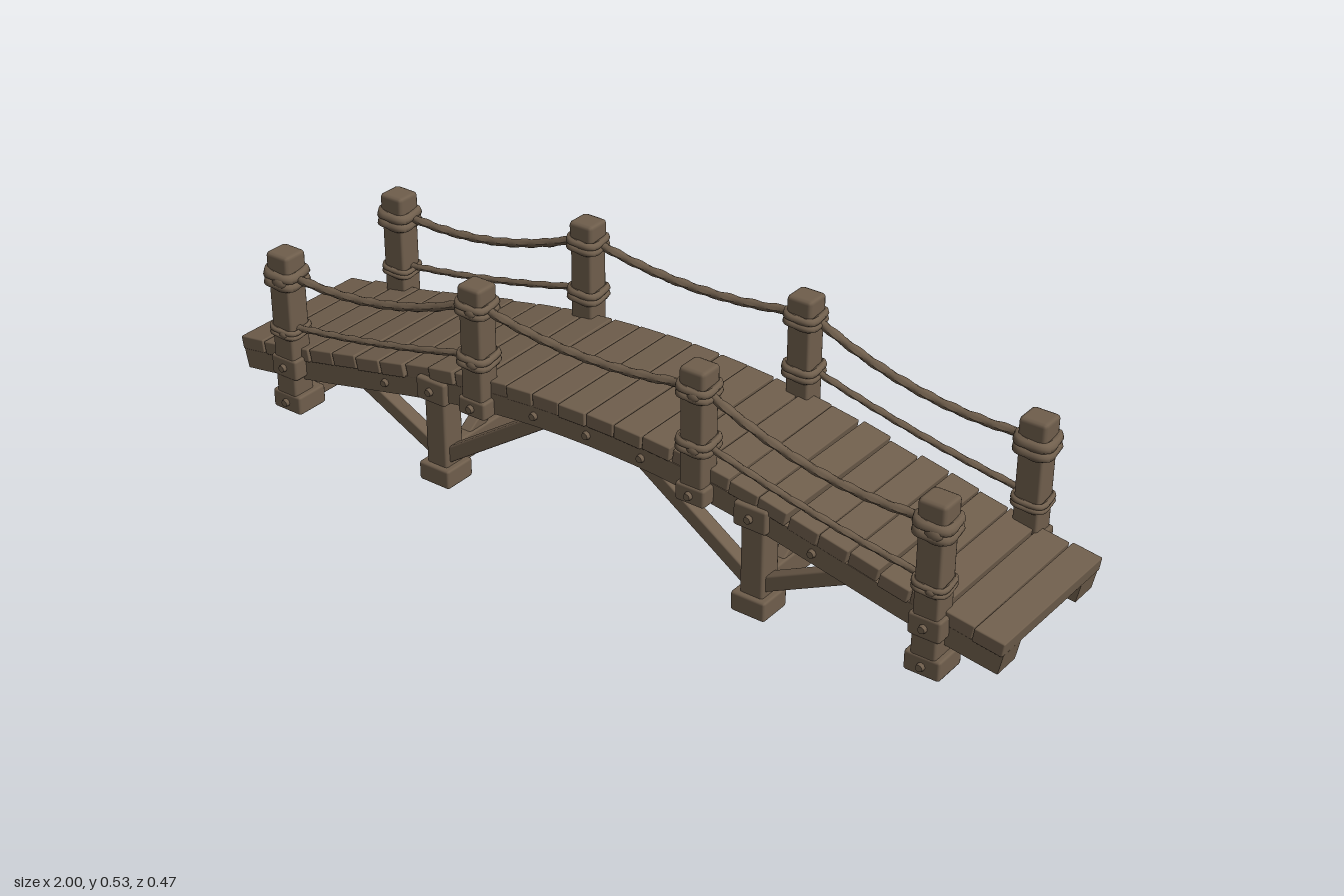
import * as THREE from 'three';
import { RoundedBoxGeometry } from 'three/addons/geometries/RoundedBoxGeometry.js';

const wood = new THREE.MeshStandardMaterial({ color: 0x6f5e4c });
wood.name = 'weathered wood';
const V = (x, y, z) => new THREE.Vector3(x, y, z);

// Small seeded random for uneven planks
let seed = 7;
const rand = () => ((seed = (seed * 16807) % 2147483647) / 2147483647);
const jitter = (a) => (rand() - 0.5) * 2 * a;

// Height of the deck surface along the arch
const HEIGHTS = [0.322, 0.314, 0.287, 0.246, 0.204, 0.172];
function deckY(x) {
  const t = Math.min(Math.abs(x) * 5, 4.9999), i = Math.floor(t), f = t - i;
  const h = (k) => HEIGHTS[Math.min(Math.abs(k), 5)];
  const a = h(i - 1), b = h(i), c = h(i + 1), d = i === 4 ? 0.150 : h(i + 2);
  return b + 0.5 * f * (c - a + f * (2 * a - 5 * b + 4 * c - d + f * (3 * (b - c) + d - a)));
}

function add(parent, name, geometry, x = 0, y = 0, z = 0) {
  const mesh = new THREE.Mesh(geometry, wood);
  mesh.name = name;
  mesh.position.set(x, y, z);
  parent.add(mesh);
  return mesh;
}

// Timber block with softly worn edges
function block(parent, name, w, h, d, x, y, z, r = 0.006) {
  return add(parent, name, new RoundedBoxGeometry(w, h, d, 1, r), x, y, z);
}

// Square timber running between two points
function strut(parent, name, a, b, thick, deep) {
  const m = block(parent, name, thick, deep, a.distanceTo(b), 0, 0, 0, 0.004);
  m.position.copy(a).add(b).multiplyScalar(0.5);
  m.lookAt(b);
  return m;
}

// Twisted three-strand rope along a curve
function rope(parent, name, curve, radius, segments, closed = false) {
  const sides = 9, turns = Math.max(4, Math.round(curve.getLength() / 0.06));
  const g = new THREE.TubeGeometry(curve, segments, radius, sides, closed);
  const p = g.attributes.position, v = V(0, 0, 0);
  for (let i = 0; i <= segments; i++) {
    const c = curve.getPointAt(i / segments);
    for (let j = 0; j <= sides; j++) {
      const k = i * (sides + 1) + j;
      const s = 1 + 0.15 * Math.cos(3 * (j / sides) * Math.PI * 2 - (i / segments) * turns * Math.PI * 2);
      v.fromBufferAttribute(p, k).sub(c).multiplyScalar(s).add(c);
      p.setXYZ(k, v.x, v.y, v.z);
    }
  }
  g.computeVertexNormals();
  return add(parent, name, g);
}

// Rope coiled round a square post
function wrap(parent, x, y, z, radius, side) {
  const group = new THREE.Group();
  group.name = 'ropeWrap';
  const h = 0.033, q = 0.022;
  for (const dy of [-0.9, 0.9]) {
    const pts = [[h, q], [q, h], [-q, h], [-h, q], [-h, -q], [-q, -h], [q, -h], [h, -q]]
      .map(([a, b], i) => V(a, dy * radius + (i % 4 - 1.5) * 0.002, b));
    rope(group, 'ropeCoil', new THREE.CatmullRomCurve3(pts, true), radius, 40, true);
  }
  const knot = add(group, 'ropeKnot', new THREE.SphereGeometry(radius * 1.4, 10, 8), 0.012, 0, side * 0.037);
  knot.scale.set(1.3, 1, 0.7);
  group.position.set(x, y, z);
  parent.add(group);
}

function bolt(parent, x, y, z, side) {
  const m = add(parent, 'bolt', new THREE.CylinderGeometry(0.008, 0.01, 0.012, 8), x, y, z);
  m.rotation.x = side * Math.PI / 2;
}

// Rope hanging between two posts
function hang(parent, name, a, b, sag, radius) {
  const pts = [];
  for (let i = 0; i <= 8; i++) {
    const t = i / 8, p = a.clone().lerp(b, t);
    p.y -= sag * 4 * t * (1 - t);
    pts.push(p);
  }
  rope(parent, name, new THREE.CatmullRomCurve3(pts), radius, 70);
}

// Curved beam under the planks
function archBeam() {
  const s = new THREE.Shape(), n = 32, top = 0.028, bottom = 0.077;
  for (let i = 0; i <= n; i++) {
    const x = -0.995 + 1.99 * i / n;
    i ? s.lineTo(x, deckY(x) - top) : s.moveTo(x, deckY(x) - top);
  }
  for (let i = n; i >= 0; i--) {
    const x = -0.985 + 1.97 * i / n;
    s.lineTo(x, deckY(x) - bottom);
  }
  s.closePath();
  return new THREE.ExtrudeGeometry(s, { depth: 0.066, bevelEnabled: false }).translate(0, 0, -0.033);
}

export function createModel() {
  const model = new THREE.Group();
  model.name = 'woodenFootbridge';

  // Deck planks following the arch
  const deck = new THREE.Group();
  deck.name = 'deck';
  model.add(deck);
  const count = 28, step = 2 / count;
  for (let i = 0; i < count; i++) {
    const x = -1 + step * (i + 0.5);
    const slope = Math.atan2(deckY(x + 0.03) - deckY(x - 0.03), 0.06);
    const end = i === 0 || i === count - 1;
    const m = block(deck, 'plank', step - 0.003, 0.032, 0.374 + jitter(0.006),
      x, deckY(x) - 0.014 + (end ? 0 : jitter(0.0025)), jitter(0.003), 0.003);
    m.rotation.set(jitter(0.006), jitter(0.008), slope);
  }

  for (const side of [-1, 1]) {
    add(model, 'archBeam', archBeam(), 0, 0, side * 0.151);
    for (const x of [-0.56, -0.14, 0, 0.14, 0.56]) bolt(model, x, deckY(x) - 0.052, side * 0.187, side);

    for (const end of [-1, 1]) {
      // Tall inner post
      const z = side * 0.186, xi = end * 0.285, xo = end * 0.838;
      const inner = new THREE.Group();
      inner.name = 'innerPost';
      model.add(inner);
      block(inner, 'postShaft', 0.056, 0.275, 0.056, xi, 0.3675, z);
      block(inner, 'postTop', 0.062, 0.045, 0.06, xi, 0.511, z, 0.009);
      block(inner, 'postCuff', 0.072, 0.042, 0.07, xi, 0.248, side * 0.183);
      bolt(inner, xi, 0.248, side * 0.221, side);
      wrap(inner, xi, 0.482, z, 0.008, side);
      wrap(inner, xi, 0.36, z, 0.008, side);

      // Shorter outer post on its footing
      const outer = new THREE.Group();
      outer.name = 'outerPost';
      model.add(outer);
      block(outer, 'postShaft', 0.058, 0.345, 0.058, xo, 0.2375, z);
      block(outer, 'postTop', 0.064, 0.05, 0.062, xo, 0.416, z, 0.009);
      block(outer, 'postCuff', 0.074, 0.05, 0.068, xo, 0.16, side * 0.184);
      block(outer, 'postFoot', 0.082, 0.046, 0.084, xo, 0.071, side * 0.175);
      bolt(outer, xo, 0.16, side * 0.221, side);
      bolt(outer, xo, 0.071, side * 0.22, side);
      wrap(outer, xo, 0.381, z, 0.011, side);
      wrap(outer, xo, 0.25, z, 0.006, side);

      // Handrail ropes on the slopes
      const rz = side * 0.19;
      hang(model, 'upperRope', V(xo - end * 0.02, 0.386, rz), V(xi + end * 0.02, 0.482, rz), 0.036, 0.0095);
      hang(model, 'lowerRope', V(xo - end * 0.02, 0.258, rz), V(xi + end * 0.02, 0.362, rz), 0.01, 0.0075);

      // Pier leg with foot, cap and two angled struts
      const xp = end * 0.418, zp = side * 0.157;
      const pier = new THREE.Group();
      pier.name = 'pier';
      model.add(pier);
      block(pier, 'pierLeg', 0.056, 0.24, 0.058, xp, 0.14, zp);
      block(pier, 'pierFoot', 0.084, 0.046, 0.082, xp, 0.023, zp);
      block(pier, 'pierCap', 0.08, 0.055, 0.07, xp, 0.234, side * 0.163);
      bolt(pier, xp, 0.234, side * 0.201, side);
      strut(pier, 'innerStrut', V(end * 0.4, 0.068, zp), V(end * 0.13, 0.25, zp), 0.034, 0.034);
      strut(pier, 'outerStrut', V(end * 0.43, 0.068, zp), V(end * 0.665, 0.185, zp), 0.034, 0.034);
      strut(pier, 'crossBrace', V(xp, 0.06, side * 0.1), V(xp, 0.13, 0), 0.03, 0.034);
    }
    // Handrail rope over the crown
    hang(model, 'middleRope', V(-0.265, 0.484, side * 0.19), V(0.265, 0.484, side * 0.19), 0.028, 0.0095);
  }

  // Beams tying both sides together
  for (const end of [-1, 1]) {
    block(model, 'pierCrossBeam', 0.04, 0.062, 0.3, end * 0.418, 0.057, 0);
    block(model, 'postCrossBeam', 0.04, 0.034, 0.32, end * 0.838, 0.071, 0);
  }
  return model;
}
